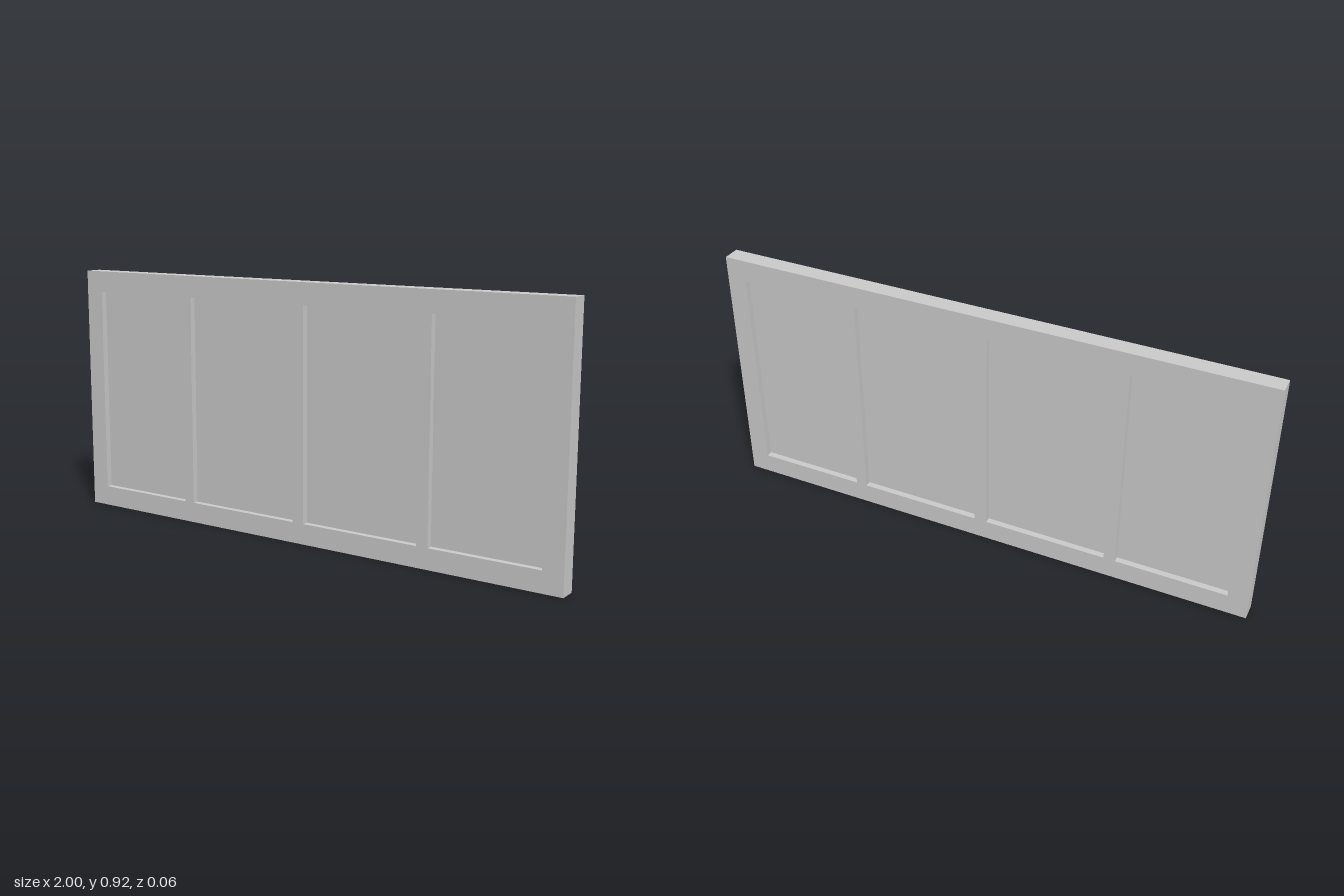
import * as THREE from 'three';

const HEIGHT = 0.923, DEPTH = 0.064, PANEL_DEPTH = 0.018;
const BOTTOM = 0.075, TOP = 0.845;
// Left and right edge of each opening
const OPENINGS = [[-0.927, -0.522], [-0.48, -0.023], [0.023, 0.48], [0.522, 0.927]];

function rectangle(path, x0, y0, x1, y1) {
  path.moveTo(x0, y0);
  path.lineTo(x1, y0);
  path.lineTo(x1, y1);
  path.lineTo(x0, y1);
  path.closePath();
  return path;
}

export function createModel() {
  const group = new THREE.Group();
  group.name = 'panelledBoard';
  const material = new THREE.MeshStandardMaterial({ color: 0xcccccc });

  // Frame: rails and stiles in one piece, with four openings
  const shape = rectangle(new THREE.Shape(), -1, 0, 1, HEIGHT);
  for (const [x0, x1] of OPENINGS) shape.holes.push(rectangle(new THREE.Path(), x0, BOTTOM, x1, TOP));
  const frameGeometry = new THREE.ExtrudeGeometry(shape, { depth: DEPTH, bevelEnabled: false });
  frameGeometry.translate(0, 0, -DEPTH / 2);
  const frame = new THREE.Mesh(frameGeometry, material);
  frame.name = 'frame';
  group.add(frame);

  // Thin panels, recessed equally on both faces
  OPENINGS.forEach(([x0, x1], i) => {
    const panel = new THREE.Mesh(new THREE.BoxGeometry(x1 - x0, TOP - BOTTOM, PANEL_DEPTH), material);
    panel.position.set((x0 + x1) / 2, (BOTTOM + TOP) / 2, 0);
    panel.name = `panel${i + 1}`;
    group.add(panel);
  });

  return group;
}
